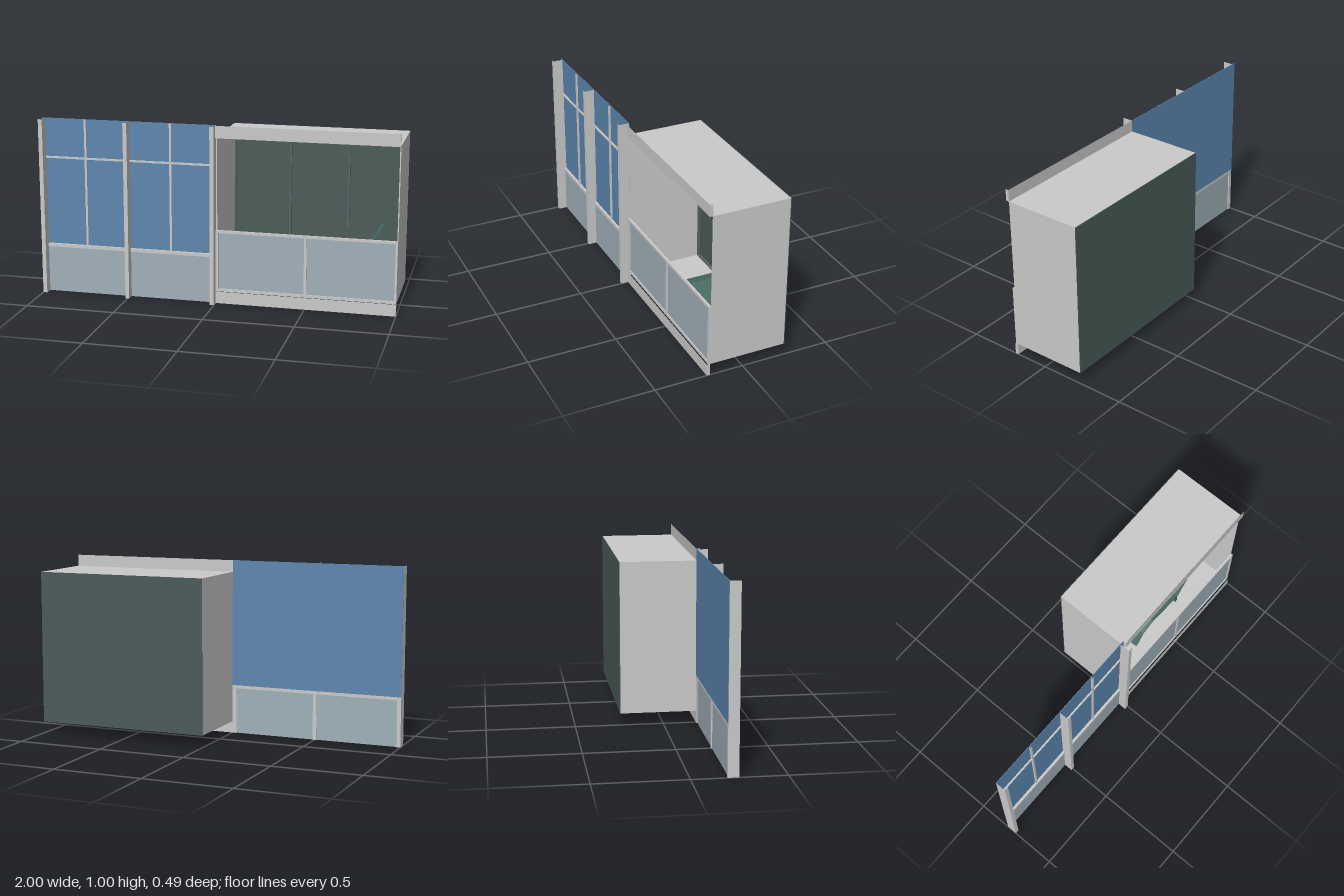
import * as THREE from 'three';

const mat = (name, color) => {
  const m = new THREE.MeshStandardMaterial({ color });
  m.name = name;
  return m;
};

export function createModel() {
  const model = new THREE.Group();
  model.name = 'facadeWithLoggia';
  const grey = mat('light grey concrete', 0xcacaca);
  const blue = mat('blue glass', 0x5c86b0);
  const pale = mat('pale panel', 0xa0b0b8);
  const dark = mat('dark green glass', 0x4a5b59);
  const frame = mat('dark frame', 0x5c6161);
  const fabric = mat('green lounger', 0x4a6b64);
  fabric.side = THREE.DoubleSide;

  // Box given by its limits; open boxes have no top or bottom
  function box(name, material, [x0, x1], [y0, y1], [z0, z1], open = false) {
    const g = new THREE.BoxGeometry(x1 - x0, y1 - y0, z1 - z0);
    if (open) {
      const i = Array.from(g.index.array);
      i.splice(12, 12);
      g.setIndex(i);
      g.clearGroups();
    }
    const m = new THREE.Mesh(g, material);
    m.name = name;
    m.position.set((x0 + x1) / 2, (y0 + y1) / 2, (z0 + z1) / 2);
    model.add(m);
    return m;
  }

  // Flat glazed bays between three posts
  for (const [a, b] of [[-1, -0.977], [-0.511, -0.489], [-0.023, 0]])
    box('post', grey, [a, b], [0, 1], [0.188, 0.247], true);
  box('upperGlass', blue, [-1, 0], [0.28, 1], [0.187, 0.19]);
  for (const [a, b] of [[-0.977, -0.511], [-0.489, -0.023]]) {
    const c = (a + b) / 2;
    box('lowerPanel', pale, [a, b], [0, 0.262], [0.194, 0.198]);
    box('sill', grey, [a, b], [0.262, 0.28], [0.188, 0.204]);
    box('mullion', grey, [c - 0.006, c + 0.006], [0.28, 1], [0.19, 0.199], true);
    box('transom', grey, [a, b], [0.774, 0.784], [0.19, 0.199]);
  }

  // Loggia shell
  box('roof', grey, [0, 1], [0.928, 0.934], [-0.243, 0.19]);
  box('floor', grey, [0, 1], [0.067, 0.073], [-0.243, 0.19]);
  box('sideWall', grey, [0, 0.006], [0.073, 0.928], [-0.243, 0.188]);
  box('sideWall', grey, [0.994, 1], [0.073, 0.928], [-0.243, 0.188]);
  box('topFascia', grey, [0, 1], [0.934, 1], [0.188, 0.207], true);
  box('bottomFascia', grey, [0, 1], [0, 0.067], [0.188, 0.207], true);

  // Rear glazing and its frame
  box('rearGlass', dark, [0, 1], [0.067, 0.934], [-0.247, -0.243]);
  for (const x of [0.011, 0.333, 0.667, 0.989])
    box('rearStile', frame, [x - 0.005, x + 0.005], [0.073, 0.928], [-0.243, -0.23]);
  for (const y of [0.078, 0.923])
    box('rearRail', frame, [0.006, 0.994], [y - 0.005, y + 0.005], [-0.243, -0.23]);

  // Balustrade
  box('balustradePanel', pale, [0.006, 0.994], [0.075, 0.405], [0.19, 0.195]);
  box('handrail', grey, [0, 1], [0.402, 0.416], [0.187, 0.201]);
  box('bottomRail', grey, [0, 1], [0.067, 0.083], [0.187, 0.201]);
  for (const [a, b] of [[0, 0.014], [0.493, 0.507], [0.988, 1]])
    box('balustradeStile', grey, [a, b], [0.083, 0.402], [0.187, 0.201]);

  // Sun lounger lying along the balcony
  const lounger = new THREE.Group();
  lounger.name = 'lounger';
  const outline = [[0.3, 0.075], [0.36, 0.17], [0.45, 0.2], [0.68, 0.16], [0.87, 0.425],
    [0.882, 0.418], [0.685, 0.145], [0.45, 0.186], [0.368, 0.16], [0.312, 0.075]];
  const seatGeo = new THREE.ExtrudeGeometry(
    new THREE.Shape(outline.map(([x, y]) => new THREE.Vector2(x, y))),
    { depth: 0.2, bevelEnabled: false });
  const seat = new THREE.Mesh(seatGeo, fabric);
  seat.name = 'loungerSeat';
  seat.position.z = -0.14;
  lounger.add(seat);
  for (const z of [-0.13, 0.05]) {
    const leg = new THREE.Mesh(new THREE.BoxGeometry(0.015, 0.08, 0.015), fabric);
    leg.name = 'loungerLeg';
    leg.position.set(0.68, 0.113, z);
    lounger.add(leg);
  }
  model.add(lounger);
  return model;
}
